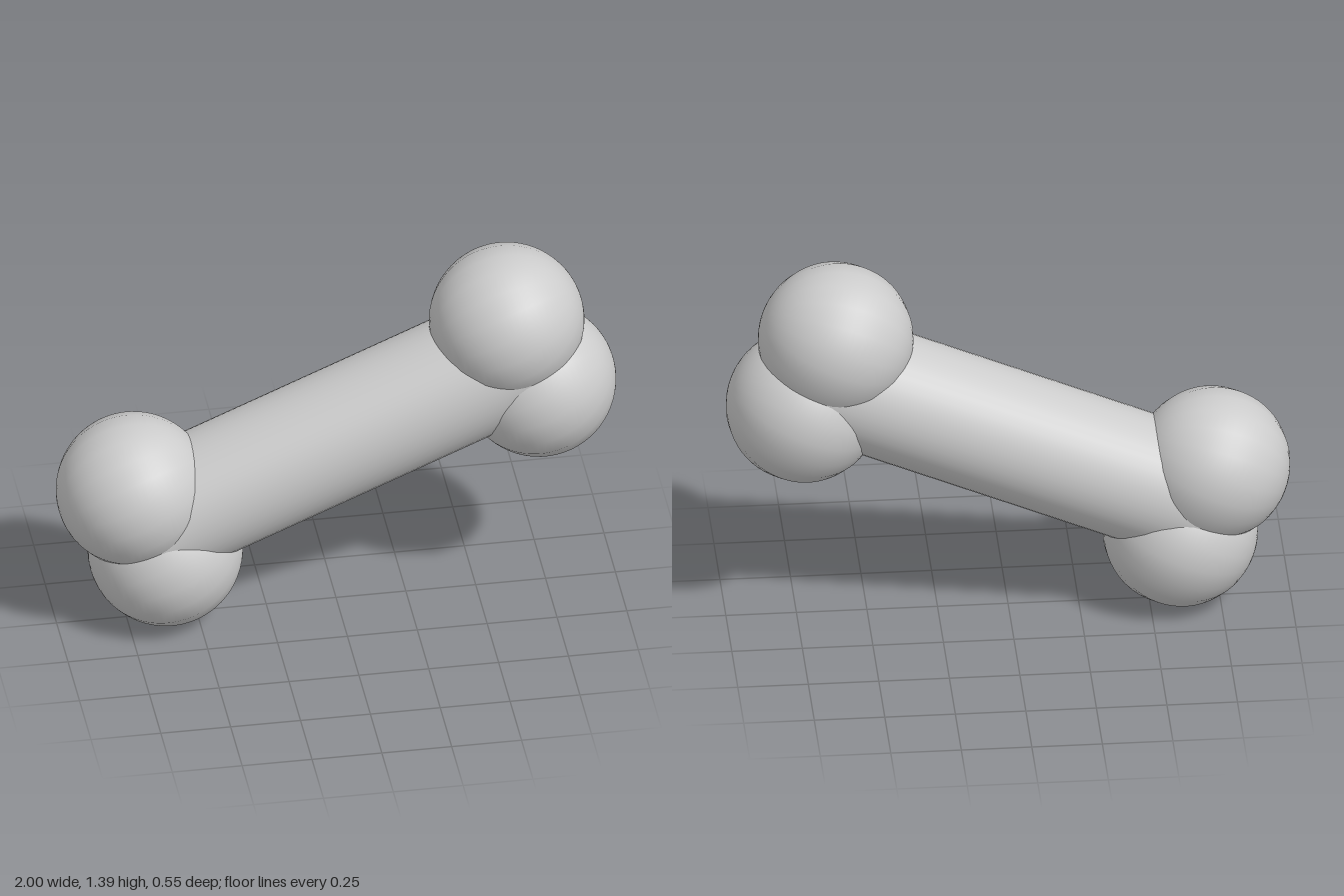
import * as THREE from 'three';

export function createModel() {
  const model = new THREE.Group();
  model.name = 'bone';
  const material = new THREE.MeshStandardMaterial({ color: 0xcccccc });

  // The bone is built along local x, then tilted.
  const bone = new THREE.Group();
  bone.name = 'tiltedBone';
  bone.position.y = 0.695;
  bone.rotation.z = THREE.MathUtils.degToRad(23.3);
  model.add(bone);

  // Shaft, its ends hidden between the knobs
  const shaft = new THREE.Mesh(
    new THREE.CylinderGeometry(0.232, 0.232, 1.44, 40).rotateZ(Math.PI / 2), material);
  shaft.name = 'shaft';
  bone.add(shaft);

  // Two round knobs at each end, poles along the bone
  const knobGeometry = new THREE.SphereGeometry(0.275, 20, 32).rotateZ(Math.PI / 2);
  for (const end of [-1, 1]) {
    for (const side of [-1, 1]) {
      const knob = new THREE.Mesh(knobGeometry, material);
      knob.name = (side > 0 ? 'upper' : 'lower') + (end > 0 ? 'Left' : 'Right') + 'Knob';
      knob.position.set(end * 0.727, side * 0.144, 0);
      bone.add(knob);
    }
  }
  return model;
}
